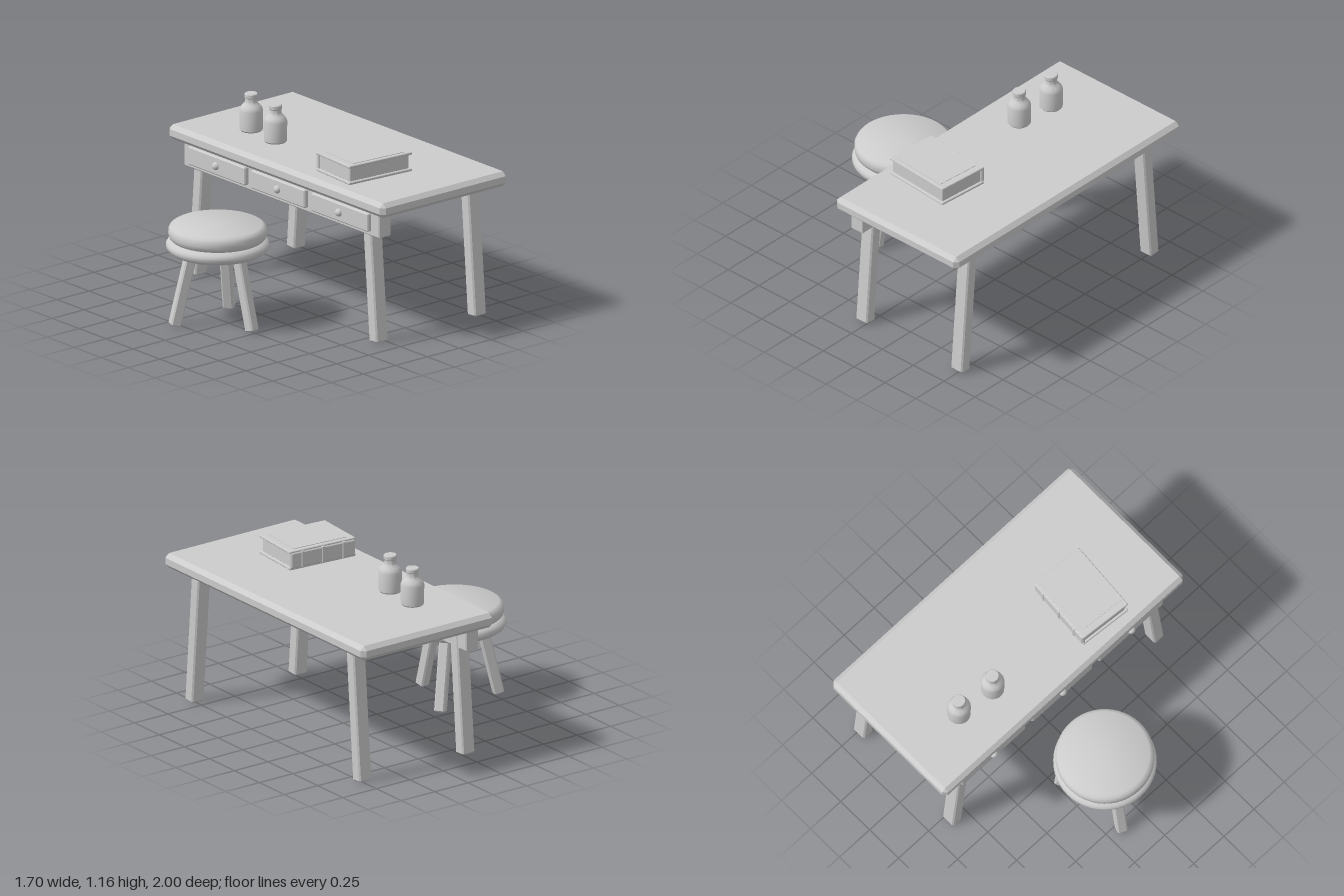
import * as THREE from 'three';
import { ConvexGeometry } from 'three/addons/geometries/ConvexGeometry.js';
import { toCreasedNormals } from 'three/addons/utils/BufferGeometryUtils.js';

const paleGrey = new THREE.MeshStandardMaterial({ color: 0xcccccc });
paleGrey.name = 'paleGrey';

// Box with all edges and corners cut off by the bevel b
function chamferBox(w, h, d, b) {
  const points = [];
  for (const x of [-1, 1]) for (const y of [-1, 1]) for (const z of [-1, 1]) {
    for (let axis = 0; axis < 3; axis++) {
      const inset = [b, b, b];
      inset[axis] = 0;
      points.push(new THREE.Vector3(
        x * (w / 2 - inset[0]), y * (h / 2 - inset[1]), z * (d / 2 - inset[2])));
    }
  }
  return new ConvexGeometry(points);
}

function lathe(profile, segments) {
  const points = profile.map(([r, y]) => new THREE.Vector2(r, y));
  return toCreasedNormals(new THREE.LatheGeometry(points, segments), 0.6);
}

function add(parent, name, geometry, x = 0, y = 0, z = 0) {
  const mesh = new THREE.Mesh(geometry, paleGrey);
  mesh.name = name;
  mesh.position.set(x, y, z);
  parent.add(mesh);
  return mesh;
}

function addGroup(parent, name) {
  const group = new THREE.Group();
  group.name = name;
  parent.add(group);
  return group;
}

// Square leg running from its foot to its top, turned about its own length
function addLeg(parent, name, foot, top, w, d, turn) {
  const a = new THREE.Vector3(...foot), b = new THREE.Vector3(...top);
  const geometry = chamferBox(w, a.distanceTo(b), d, 0.009);
  geometry.rotateY(turn);
  const leg = add(parent, name, geometry);
  leg.position.copy(a).add(b).multiplyScalar(0.5);
  leg.quaternion.setFromUnitVectors(new THREE.Vector3(0, 1, 0), b.sub(a).normalize());
}

function buildTable(root) {
  const table = addGroup(root, 'table');
  add(table, 'tableTop', chamferBox(0.99, 0.093, 2, 0.026), 0.355, 0.882, 0);

  // Four legs splayed along the length
  for (const x of [-0.035, 0.735]) for (const s of [-1, 1]) {
    addLeg(table, 'tableLeg', [x, 0.008, s * 0.84], [x, 0.815, s * 0.775], 0.092, 0.076, 0);
  }

  // Drawer rail with three drawers and round knobs
  add(table, 'drawerRail', chamferBox(0.094, 0.152, 1.81, 0.006), -0.042, 0.757, 0.003);
  const knob = new THREE.SphereGeometry(0.025, 20, 12);
  for (const [z, width] of [[-0.57, 0.53], [0, 0.5], [0.57, 0.53]]) {
    add(table, 'drawerFront', chamferBox(0.04, 0.115, width, 0.007), -0.098, 0.768, z);
    add(table, 'drawerKnob', knob, -0.117, 0.768, z);
  }
}

function buildStool(root) {
  const stool = addGroup(root, 'stool');
  stool.position.set(-0.54, 0, -0.055);
  add(stool, 'stoolSeatBase', lathe([
    [0, 0.46], [0.282, 0.46], [0.3, 0.473], [0.31, 0.49], [0.31, 0.508],
    [0.3, 0.523], [0.278, 0.537], [0, 0.537]], 48));
  add(stool, 'stoolCushion', lathe([
    [0, 0.535], [0.276, 0.535], [0.291, 0.55], [0.297, 0.572], [0.296, 0.598],
    [0.287, 0.616], [0.268, 0.628], [0, 0.628]], 48));

  // Three splayed legs, each turned to face outward
  for (const [x, z] of [[-0.25, -0.105], [0.225, -0.16], [0.035, 0.278]]) {
    addLeg(stool, 'stoolLeg', [x, 0.014, z], [x * 0.6, 0.475, z * 0.6],
      0.066, 0.066, Math.atan2(x, z));
  }
}

function buildBook(root) {
  const book = addGroup(root, 'book');
  book.position.set(0.185, 0.93, 0.445);
  book.rotation.y = -0.078;
  for (const y of [0.012, 0.115]) {
    add(book, 'bookCover', chamferBox(0.465, 0.017, 0.345, 0.004), 0, y, 0);
  }
  add(book, 'bookPages', chamferBox(0.435, 0.09, 0.315, 0.003), 0, 0.0635, 0);

  // Spine with raised bands
  add(book, 'bookSpine', chamferBox(0.455, 0.102, 0.028, 0.008), 0, 0.0635, -0.165);
  for (const x of [-0.145, 0, 0.145]) {
    add(book, 'spineBand', chamferBox(0.022, 0.106, 0.016, 0.004), x, 0.0635, -0.176);
  }

  // Raised panel on the front cover
  add(book, 'coverPanel', new THREE.BoxGeometry(0.375, 0.004, 0.29), 0, 0.1245, 0.003);
}

function buildBottles(root) {
  const geometry = lathe([
    [0, 0], [0.062, 0], [0.07, 0.009], [0.071, 0.13], [0.066, 0.146], [0.053, 0.162],
    [0.041, 0.174], [0.036, 0.184], [0.036, 0.205], [0.04, 0.21], [0.04, 0.23],
    [0.036, 0.235], [0, 0.235]], 32);
  for (const [x, z] of [[0.17, -0.585], [0.145, -0.33]]) {
    add(root, 'bottle', geometry, x, 0.929, z);
  }
}

export function createModel() {
  const model = new THREE.Group();
  model.name = 'deskWithStool';
  buildTable(model);
  buildStool(model);
  buildBook(model);
  buildBottles(model);
  return model;
}
